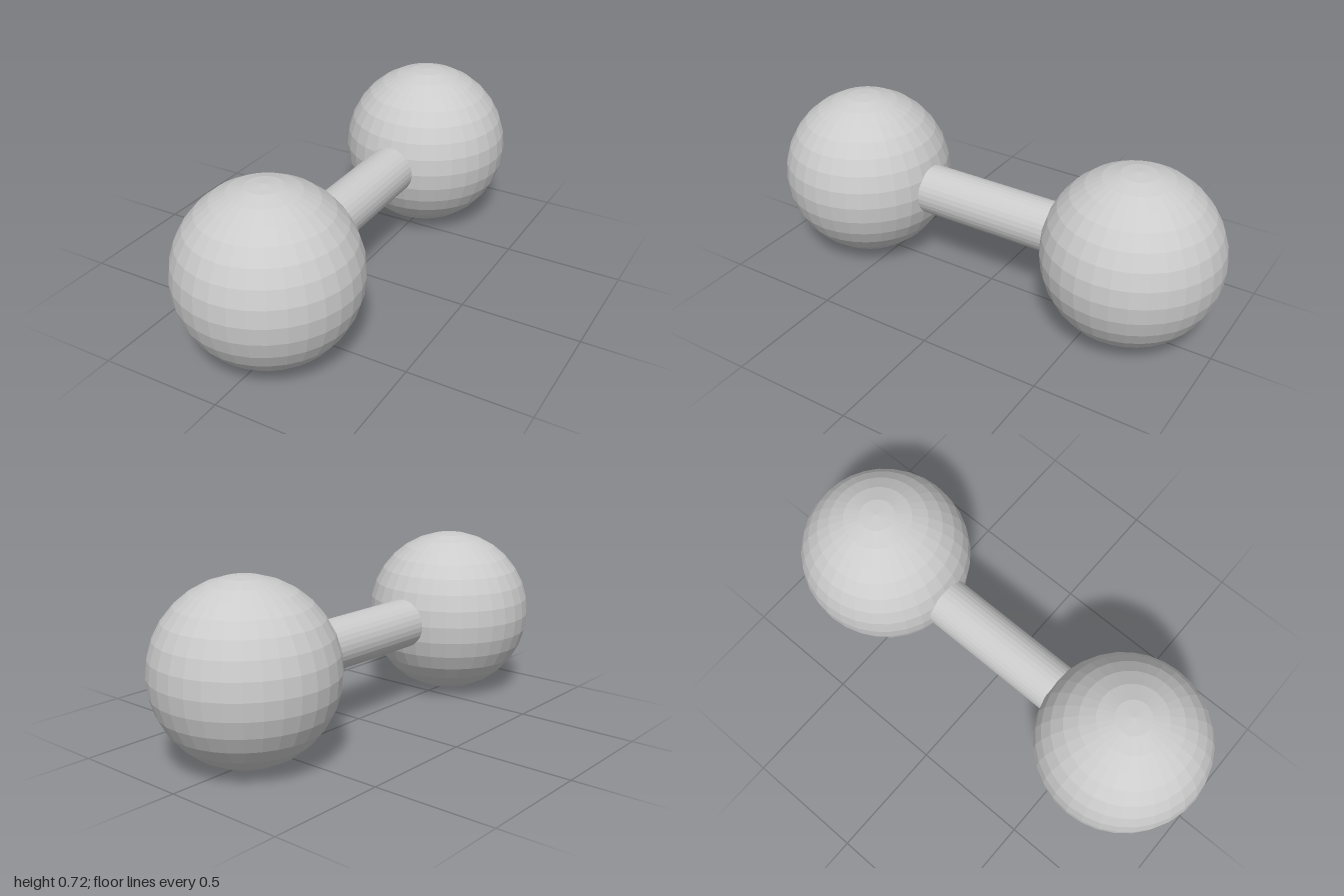
import * as THREE from 'three';

const RADIUS = 0.36;
const CENTRE_Z = 1 - RADIUS;
const BAR_RADIUS = 0.105;

export function createModel() {
  const model = new THREE.Group();
  model.name = 'dumbbell';
  const material = new THREE.MeshStandardMaterial({ color: 0xcccccc, flatShading: true });

  // Two faceted ball weights, one at each end
  const ballGeometry = new THREE.SphereGeometry(RADIUS, 32, 16);
  for (const [name, side] of [['frontBall', 1], ['backBall', -1]]) {
    const ball = new THREE.Mesh(ballGeometry, material);
    ball.name = name;
    ball.position.set(0, RADIUS, side * CENTRE_Z);
    model.add(ball);
  }

  // Round handle whose ends are sunk into the balls
  const handleGeometry = new THREE.CylinderGeometry(BAR_RADIUS, BAR_RADIUS, 2 * CENTRE_Z, 32);
  handleGeometry.rotateX(Math.PI / 2);
  const handle = new THREE.Mesh(handleGeometry, material);
  handle.name = 'handle';
  handle.position.y = RADIUS;
  model.add(handle);

  return model;
}
